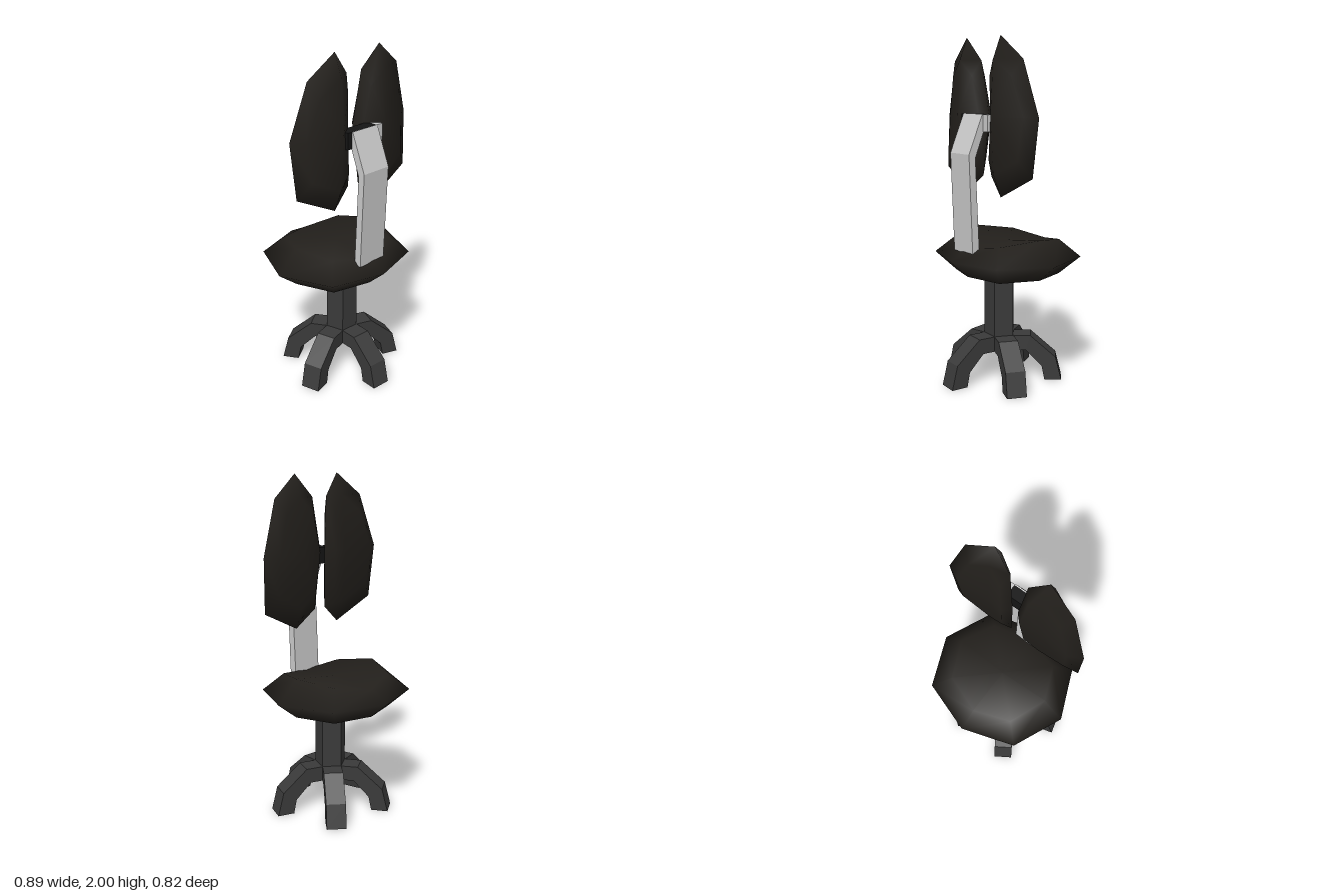
import * as THREE from 'three';

const mat = (color, flatShading = true) => new THREE.MeshStandardMaterial({ color, flatShading });
const padMat = mat(0x23201c, false);
const baseMat = mat(0x3a3a3a);
const barMat = mat(0x151515);
const greyMat = mat(0xcccccc);

function mesh(name, geometry, material) {
  const m = new THREE.Mesh(geometry, material);
  m.name = name;
  return m;
}

// Side profile given as [z, y] points, extruded across x and centred on it
function sideProfile(points, width) {
  const shape = new THREE.Shape(points.map(([z, y]) => new THREE.Vector2(z, y)));
  const g = new THREE.ExtrudeGeometry(shape, { depth: width, bevelEnabled: false });
  return g.translate(0, 0, -width / 2).rotateY(-Math.PI / 2);
}

// Saddle-shaped cushion: an eight-point outline, an inner ring on each face and two apexes.
// Depths are listed as [side, diagonal, end, apex].
function cushion(outline, [cu, cv], rim, hi, lo) {
  const kind = (i) => (i % 2 ? 1 : i % 4);
  const ring = (scale, depth) => outline.flatMap(([u, v], i) =>
    [cu + (u - cu) * scale, cv + (v - cv) * scale, depth[kind(i)]]);
  const pos = [...ring(1, rim), ...ring(0.71, hi), ...ring(0.71, lo), cu, cv, hi[3], cu, cv, lo[3]];
  const index = [];
  for (let i = 0; i < 8; i++) {
    const j = (i + 1) % 8;
    index.push(i, j, 8 + j, i, 8 + j, 8 + i, 8 + i, 8 + j, 24);
    index.push(j, i, 16 + i, j, 16 + i, 16 + j, 16 + j, 16 + i, 25);
  }
  const g = new THREE.BufferGeometry();
  g.setAttribute('position', new THREE.Float32BufferAttribute(pos, 3));
  g.setIndex(index);
  g.computeVertexNormals();
  return g;
}

export function createModel() {
  const chair = new THREE.Group();
  chair.name = 'officeChair';

  // Seat
  const seatOutline = [[0.445, 0], [0.315, 0.305], [0, 0.41], [-0.315, 0.305],
    [-0.445, 0], [-0.315, -0.3], [0, -0.39], [0.315, -0.3]];
  const seat = cushion(seatOutline, [0, 0], [0.745, 0.745, 0.745],
    [0.875, 0.845, 0.81, 0.83], [0.645, 0.64, 0.645, 0.607]);
  chair.add(mesh('seat', seat.rotateX(-Math.PI / 2), padMat));

  // Two mirrored back pads
  const padOutline = [[0.44, 1.56], [0.335, 1.87], [0.165, 2], [0.055, 1.87],
    [0.017, 1.56], [0.04, 1.22], [0.165, 1.115], [0.42, 1.24]];
  const mirrored = padOutline.map((_, i) => padOutline[(12 - i) % 8]).map(([x, y]) => [-x, y]);
  for (const [name, outline, cx] of [['leftBackPad', padOutline, 0.165], ['rightBackPad', mirrored, -0.165]]) {
    chair.add(mesh(name, cushion(outline, [cx, 1.56], [0.11, 0.135, 0.16],
      [0.155, 0.18, 0.21, 0.228], [0.065, 0.09, 0.11, 0.085]), padMat));
  }

  // Bent support strip behind the back pads
  const strip = mesh('backSupport', sideProfile([[0.3, 0.79], [0.32, 1.355], [0.23, 1.575],
    [0.19, 1.56], [0.278, 1.335], [0.255, 0.79]], 0.19), greyMat);
  strip.position.x = -0.005;
  chair.add(strip);

  // Crossbar joining the pads, with its small end block
  const bar = mesh('crossbar', new THREE.BoxGeometry(0.22, 0.095, 0.07), barMat);
  bar.position.set(-0.02, 1.525, 0.19);
  const block = mesh('crossbarEnd', new THREE.BoxGeometry(0.045, 0.095, 0.07), greyMat);
  block.position.set(0.1125, 1.525, 0.192);
  chair.add(bar, block);

  // Five-sided column and five arched legs
  const base = new THREE.Group();
  base.name = 'base';
  base.position.z = 0.045;
  base.rotation.y = -0.05;
  const column = new THREE.CylinderGeometry(0.095, 0.095, 0.45, 5).rotateY(Math.PI / 5);
  const post = mesh('column', column, baseMat);
  post.position.y = 0.405;
  base.add(post);
  const legShape = [[0.06, 0.27], [0.18, 0.27], [0.33, 0.14], [0.365, 0],
    [0.265, 0], [0.248, 0.085], [0.155, 0.18], [0.06, 0.18]];
  const legGeometry = sideProfile(legShape, 0.115);
  for (let i = 0; i < 5; i++) {
    const leg = mesh('leg', legGeometry, baseMat);
    leg.rotation.y = (i * Math.PI * 2) / 5;
    base.add(leg);
  }
  chair.add(base);
  return chair;
}
